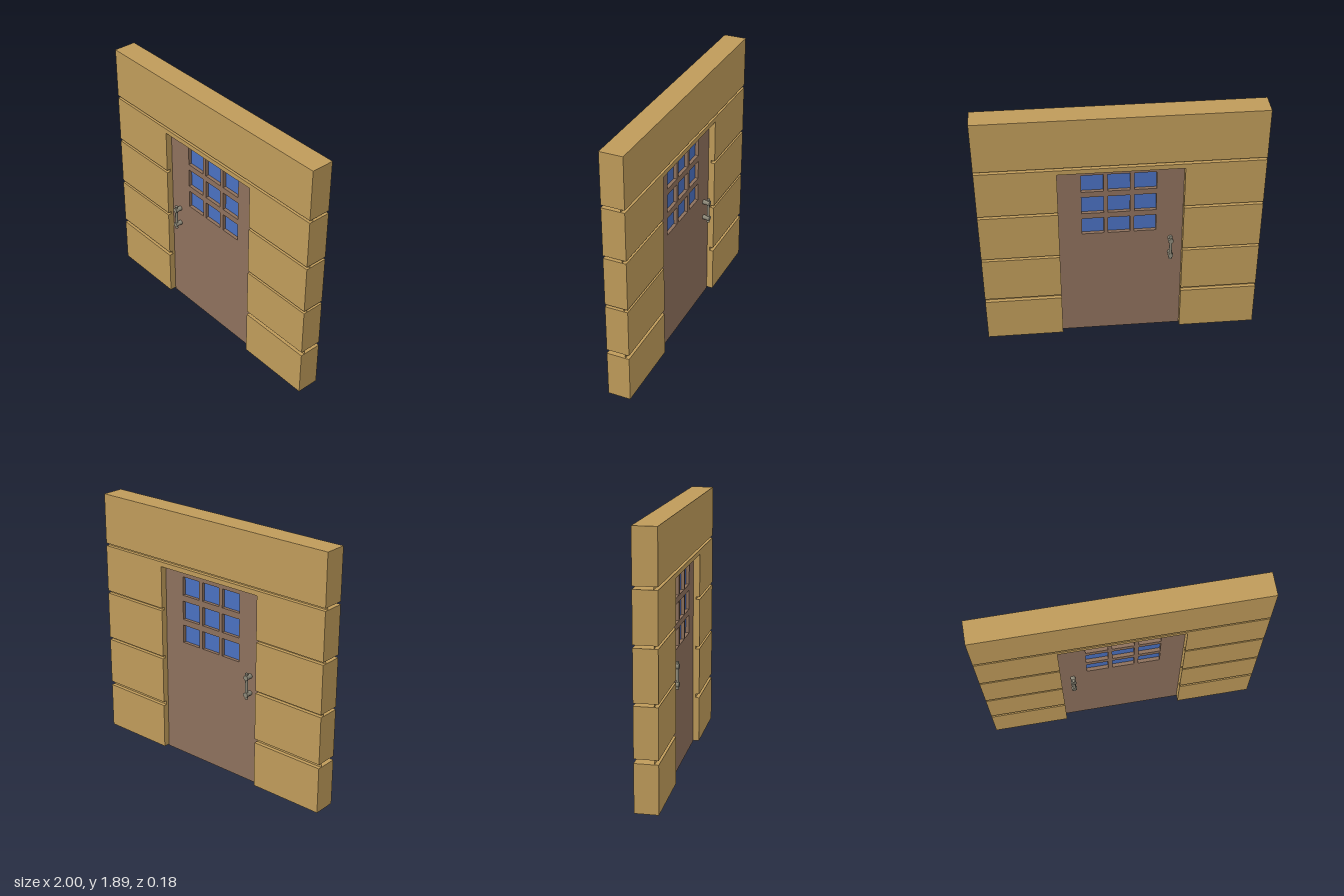
import * as THREE from 'three';

const mat = (color) => new THREE.MeshStandardMaterial({ color, flatShading: true });
const wood = mat(0xbf9b5a), doorWood = mat(0x8d705c), glass = mat(0x4a70c0);
const metal = new THREE.MeshStandardMaterial({ color: 0x8c8878 });

const WALL = 0.083, GROOVE = 0.055, DOOR = 0.035, JAMB = 0.44, DOOR_TOP = 1.46;

function add(parent, name, geometry, material, x = 0, y = 0, z = 0) {
  const mesh = new THREE.Mesh(geometry, material);
  mesh.name = name;
  mesh.position.set(x, y, z);
  parent.add(mesh);
  return mesh;
}

// Box given by its x and y ranges, centred on z
function slab(parent, name, x0, x1, y0, y1, halfDepth, material) {
  return add(parent, name, new THREE.BoxGeometry(x1 - x0, y1 - y0, halfDepth * 2),
    material, (x0 + x1) / 2, (y0 + y1) / 2);
}

function extrude(shape, halfDepth) {
  return new THREE.ExtrudeGeometry(shape, { depth: halfDepth * 2, bevelEnabled: false })
    .translate(0, 0, -halfDepth);
}

function rectPath(PathType, x0, x1, y0, y1) {
  return new PathType([[x0, y0], [x1, y0], [x1, y1], [x0, y1]].map(([x, y]) => new THREE.Vector2(x, y)));
}

function createWall() {
  const wall = new THREE.Group();
  wall.name = 'wall';

  // Side planks beside the door
  for (const [y0, y1] of [[0.01, 0.355], [0.385, 0.74], [0.76, 1.12]]) {
    slab(wall, 'rightPlank', -1, -JAMB, y0, y1, WALL, wood);
    slab(wall, 'leftPlank', JAMB, 1, y0, y1, WALL, wood);
  }

  // Plank notched around the door head
  const notched = new THREE.Shape([
    [-1, 1.14], [-JAMB, 1.14], [-JAMB, DOOR_TOP], [JAMB, DOOR_TOP],
    [JAMB, 1.14], [1, 1.14], [1, 1.495], [-1, 1.495],
  ].map(([x, y]) => new THREE.Vector2(x, y)));
  add(wall, 'lintelPlank', extrude(notched, WALL), wood);
  slab(wall, 'topPlank', -1, 1, 1.515, 1.89, WALL, wood);

  // Recessed strips in the grooves, open at the wall ends
  const strip = (x0, x1, y0, y1) => {
    for (const s of [1, -1]) {
      const face = add(wall, 'grooveStrip', new THREE.PlaneGeometry(x1 - x0, y1 - y0), wood,
        (x0 + x1) / 2, (y0 + y1) / 2, s * GROOVE);
      if (s < 0) face.rotation.y = Math.PI;
    }
  };
  for (const [y0, y1] of [[0.355, 0.385], [0.74, 0.76], [1.12, 1.14]]) {
    for (const s of [-1, 1]) {
      strip(s < 0 ? -1 : JAMB, s < 0 ? -JAMB : 1, y0, y1);
      // Jamb face toward the door
      const jamb = add(wall, 'jambStrip', new THREE.PlaneGeometry(GROOVE * 2, y1 - y0), wood,
        s * JAMB, (y0 + y1) / 2);
      jamb.rotation.y = -s * Math.PI / 2;
    }
  }
  strip(-1, 1, 1.495, 1.515);
  return wall;
}

function createDoor() {
  const door = new THREE.Group();
  door.name = 'door';
  const panel = rectPath(THREE.Shape, -JAMB, JAMB, 0, DOOR_TOP);

  // Three by three window openings with thin panes
  for (const [x0, x1] of [[-0.25, -0.095], [-0.065, 0.09], [0.12, 0.275]]) {
    for (const [y0, y1] of [[0.905, 1.04], [1.085, 1.225], [1.27, 1.41]]) {
      panel.holes.push(rectPath(THREE.Path, x0, x1, y0, y1));
      slab(door, 'windowPane', x0, x1, y0, y1, 0.01, glass);
    }
  }
  add(door, 'doorPanel', extrude(panel, DOOR), doorWood);
  return door;
}

function createHandle(name) {
  const handle = new THREE.Group();
  handle.name = name;
  // Grip bar standing off the door
  add(handle, 'gripBar', new THREE.CylinderGeometry(0.01, 0.01, 0.15, 12), metal, 0, 0.765, 0.075);
  for (const [y, s] of [[0.83, 1], [0.7, -1]]) {
    const post = add(handle, 'post', new THREE.CylinderGeometry(0.013, 0.018, 0.054, 12), metal, 0, y, 0.06);
    post.rotation.x = Math.PI / 2;
    const knob = add(handle, 'postCap', new THREE.CylinderGeometry(0.019, 0.019, 0.022, 12), metal, 0, y, 0.077);
    knob.rotation.x = Math.PI / 2;
    // Flared finial past each post
    const finial = add(handle, 'finial', new THREE.CylinderGeometry(0.012, 0.008, 0.032, 12), metal,
      0, y + s * 0.017, 0.075);
    if (s < 0) finial.rotation.x = Math.PI;
  }
  handle.position.x = -0.355;
  return handle;
}

export function createModel() {
  const model = new THREE.Group();
  model.name = 'wallWithDoor';
  const backHandle = createHandle('backHandle');
  backHandle.rotation.y = Math.PI;
  model.add(createWall(), createDoor(), createHandle('frontHandle'), backHandle);
  return model;
}
